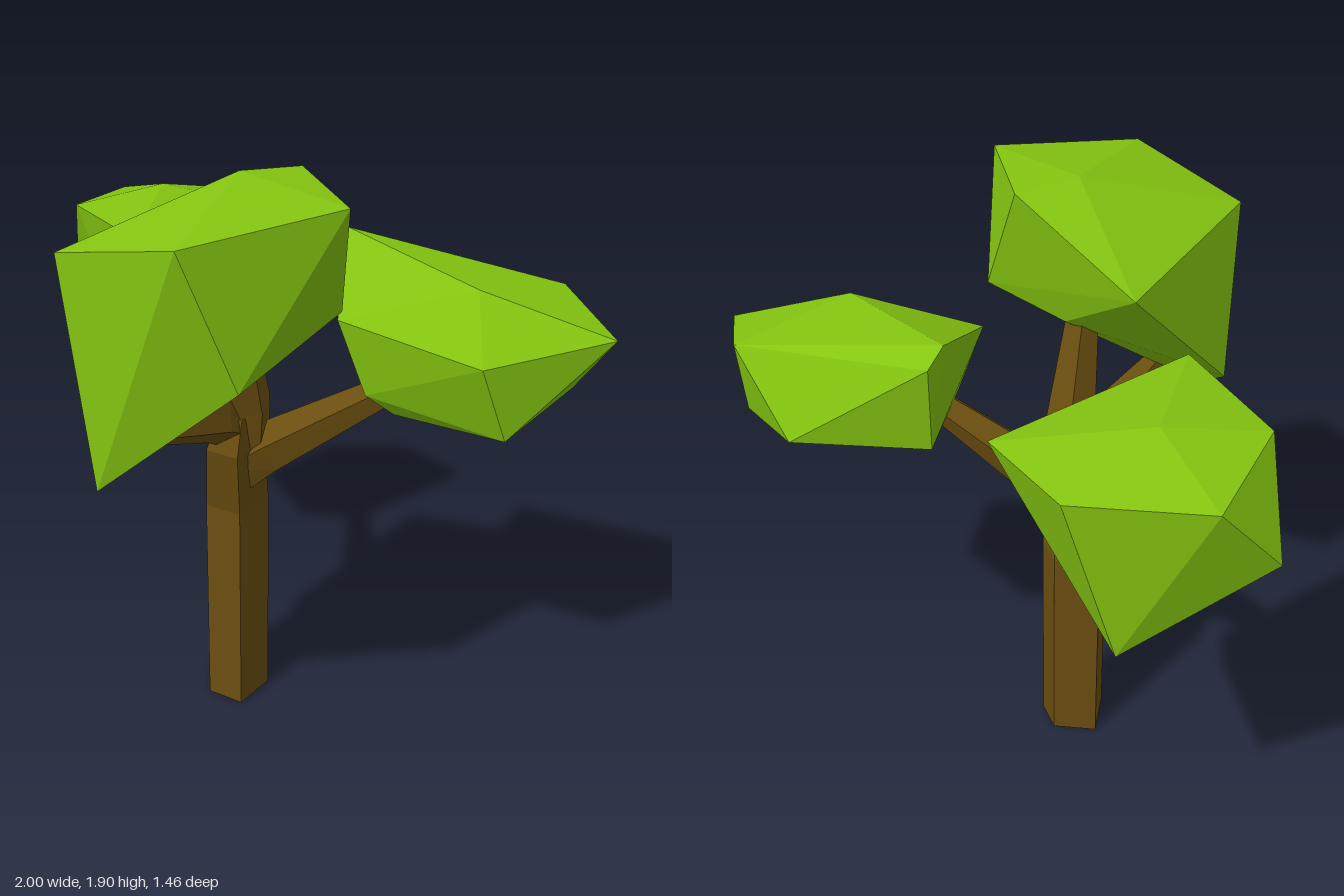
import * as THREE from 'three';
import { ConvexGeometry } from 'three/addons/geometries/ConvexGeometry.js';

const bark = new THREE.MeshStandardMaterial({ color: 0x6b4e10, flatShading: true });
const leaf = new THREE.MeshStandardMaterial({ color: 0x84c410, flatShading: true });

// Skin a list of rings (arrays of Vector3, counter-clockwise seen from the tip) and cap both ends.
function loft(rings) {
  const pos = [];
  const tri = (...pts) => pts.forEach((p) => pos.push(p.x, p.y, p.z));
  const n = rings[0].length;
  for (let i = 0; i < rings.length - 1; i++) {
    for (let j = 0; j < n; j++) {
      const k = (j + 1) % n;
      const [a, b, c, d] = [rings[i][j], rings[i][k], rings[i + 1][k], rings[i + 1][j]];
      tri(a, b, c);
      tri(a, c, d);
    }
  }
  const first = rings[0], last = rings[rings.length - 1];
  for (let j = 1; j < n - 1; j++) {
    tri(first[0], first[j + 1], first[j]);
    tri(last[0], last[j], last[j + 1]);
  }
  const g = new THREE.BufferGeometry();
  g.setAttribute('position', new THREE.Float32BufferAttribute(pos, 3));
  g.computeVertexNormals();
  return g;
}

// Five-sided tapering branch through [x, y, z, radius] stations.
function branch(stations) {
  const pts = stations.map(([x, y, z]) => new THREE.Vector3(x, y, z));
  const up = new THREE.Vector3(0, 1, 0);
  return loft(pts.map((p, i) => {
    const dir = pts[Math.min(i + 1, pts.length - 1)].clone().sub(pts[Math.max(i - 1, 0)]).normalize();
    const q = new THREE.Quaternion().setFromUnitVectors(up, dir);
    return Array.from({ length: 5 }, (_, j) => {
      const a = (j / 5) * Math.PI * 2;
      const r = stations[i][3];
      return new THREE.Vector3(Math.sin(a) * r, 0, Math.cos(a) * r).applyQuaternion(q).add(p);
    });
  }));
}

// Uneven pentagonal trunk: straight post, then leaning forward into the fork.
function trunk() {
  const outline = [[-0.03, 0.11], [0.1, 0.11], [0.11, -0.05], [0.02, -0.105], [-0.105, -0.03]];
  const levels = [[-0.11, 0, 0, 1], [-0.11, 0.74, 0, 1], [-0.075, 0.97, 0.06, 0.9], [-0.05, 1.09, 0.06, 0.65]];
  return loft(levels.map(([x, y, z, s]) =>
    outline.map(([px, pz]) => new THREE.Vector3(x + px * s, y, z + pz * s))));
}

const branches = {
  rightBranch: [[-0.06, 0.94, 0.04, 0.09], [-0.17, 1.03, -0.02, 0.075], [-0.42, 1.24, -0.22, 0.05], [-0.52, 1.31, -0.3, 0.04]],
  leftBranch: [[-0.07, 0.88, 0.03, 0.1], [0.04, 0.96, 0.01, 0.085], [0.36, 1.17, -0.12, 0.05], [0.46, 1.24, -0.17, 0.04]],
  frontBranch: [[-0.07, 1.04, 0.05, 0.09], [-0.06, 1.1, 0.18, 0.08], [-0.05, 1.18, 0.48, 0.045], [-0.05, 1.2, 0.54, 0.035]],
  upperBranch: [[-0.05, 0.98, 0.04, 0.1], [-0.02, 1.12, 0.06, 0.085], [0.01, 1.45, 0.16, 0.055], [0.02, 1.56, 0.19, 0.045]],
};

// Corner points of the faceted leaf clumps.
const clumps = {
  frontFoliage: [
    [0.07, 1.9, 0.22], [0.47, 1.875, 0.31], [0.21, 1.83, 0.73], [-0.22, 1.74, 0.68], [-0.295, 1.69, 0],
    [0.16, 1.885, 0.03], [0.35, 1.51, 0.12], [-0.325, 1.24, 0.48], [0.31, 1.42, 0.6], [-0.12, 1.05, 0.68],
    [0.02, 1.49, 0.09],
  ],
  rightFoliage: [
    [-0.65, 1.62, -0.4], [-0.92, 1.54, -0.53], [-0.85, 1.57, -0.17], [-0.46, 1.57, 0.03], [-0.26, 1.53, -0.61],
    [-0.59, 1.54, -0.73], [-1, 1.31, -0.34], [-0.69, 1.03, -0.62], [-0.6, 1.12, -0.39], [-0.34, 1.25, -0.5],
    [-0.66, 1.26, -0.12],
  ],
  leftFoliage: [
    [0.09, 1.59, -0.38], [0.09, 1.54, -0.45], [0.62, 1.525, -0.22], [0.75, 1.46, -0.59], [1, 1.39, -0.38],
    [0.72, 1.35, -0.05], [0.27, 1.43, 0], [0.48, 1.25, -0.65], [0.84, 1.16, -0.5], [0.77, 1.1, -0.14],
    [0.42, 1.12, -0.1], [0.35, 1.19, -0.04], [0.12, 1.25, -0.42],
  ],
};

export function createModel() {
  const tree = new THREE.Group();
  tree.name = 'tree';
  const add = (name, geometry, material) => {
    const mesh = new THREE.Mesh(geometry, material);
    mesh.name = name;
    tree.add(mesh);
  };

  add('trunk', trunk(), bark);
  for (const [name, stations] of Object.entries(branches)) add(name, branch(stations), bark);
  for (const [name, corners] of Object.entries(clumps)) {
    add(name, new ConvexGeometry(corners.map((c) => new THREE.Vector3(...c))), leaf);
  }
  return tree;
}
